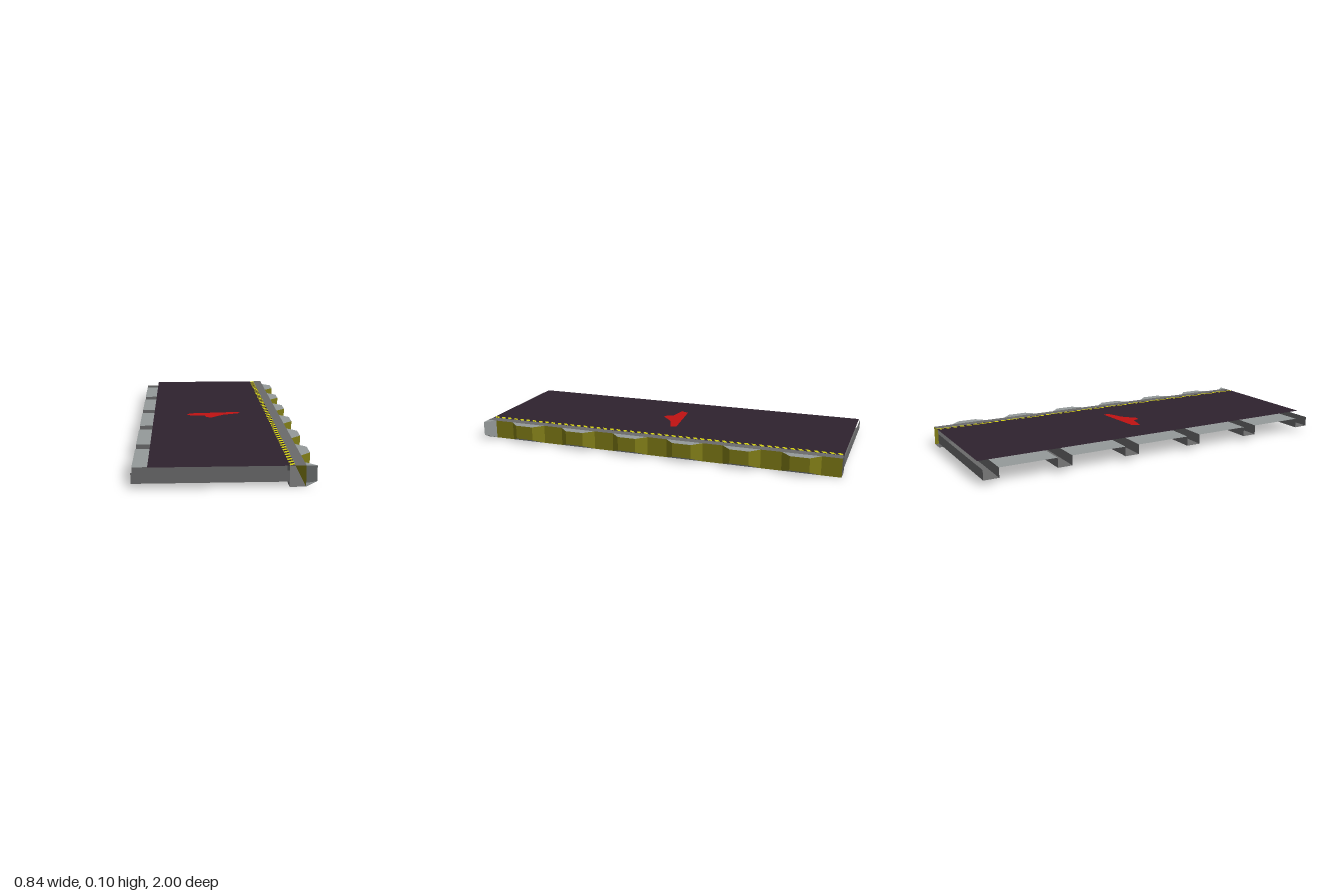
import * as THREE from 'three';

const mat = (name, color) => {
  const m = new THREE.MeshStandardMaterial({ color, side: THREE.DoubleSide });
  m.name = name;
  return m;
};

// Flat-sided sheet made from a list of four-cornered faces
function sheet(name, material, quads) {
  const pos = [];
  for (const [a, b, c, d] of quads) pos.push(...a, ...b, ...c, ...a, ...c, ...d);
  const g = new THREE.BufferGeometry();
  g.setAttribute('position', new THREE.Float32BufferAttribute(pos, 3));
  g.computeVertexNormals();
  const mesh = new THREE.Mesh(g, material);
  mesh.name = name;
  return mesh;
}

// Horizontal (faces up), x-facing and z-facing rectangles
const flat = (x0, x1, y, z0, z1) => [[x0, y, z0], [x0, y, z1], [x1, y, z1], [x1, y, z0]];
const sideX = (x, y0, y1, z0, z1) => [[x, y0, z1], [x, y0, z0], [x, y1, z0], [x, y1, z1]];
const sideZ = (z, x0, x1, y0, y1) => [[x0, y0, z], [x1, y0, z], [x1, y1, z], [x0, y1, z]];

export function createModel() {
  const model = new THREE.Group();
  const deckDark = mat('deck dark', 0x2e222e);
  const steel = mat('steel grey', 0x6a6a6b);
  const light = mat('light grey', 0x959a9a);
  const olive = mat('olive', 0x807c16);
  const yellow = mat('warning yellow', 0xd2d012);
  const red = mat('marking red', 0xc01212);

  const LEFT = -0.42, EDGE = 0.295, WALL = 0.37, OUT = 0.42, TOP = 0.1;

  // Walking surface
  model.add(sheet('deck', deckDark, [flat(-0.345, EDGE, TOP, -1, 1)]));

  // Hollow curb, open at both ends
  model.add(sheet('curb', steel, [
    flat(0.32, WALL, TOP, -1, 1),
    [...flat(EDGE, WALL, 0, -1, 1)].reverse(),
    [...sideX(EDGE, 0, TOP, -1, 1)].reverse(),
  ]));
  model.add(sheet('curbWall', olive, [sideX(WALL, 0, TOP, -1, 1)]));

  // Warning stripe with slanted dashes
  model.add(sheet('stripeBase', deckDark, [flat(EDGE, 0.32, TOP, -1, 1)]));
  const dashes = [], count = 50, step = 2 / count;
  for (let i = 0; i < count; i++) {
    const z = -1 + i * step, y = TOP + 0.0008, s = step * 0.4;
    const end = z + step * 0.55;
    dashes.push([[EDGE, y, z + s], [EDGE, y, end + s], [0.32, y, end], [0.32, y, z]]);
  }
  const under = dashes.map(q => q.map(([x, y, z]) => [x, TOP - 0.0008, z]).reverse());
  model.add(sheet('stripeDashes', yellow, [...dashes, ...under]));

  // Bevelled bumpers along the outside; the last one is cut by the front end
  const bumpers = new THREE.Group();
  bumpers.name = 'bumpers';
  for (let i = 0; i < 7; i++) {
    const z0 = 0.95 - i * 0.308, a = z0 + 0.05, b = z0 + 0.15, z1 = z0 + 0.2, low = 0.025;
    const backSlope = [[WALL, 0, z0], [WALL, TOP, z0], [OUT, TOP, a], [OUT, low, a]];
    if (i === 0) {
      bumpers.add(sheet('cutBumper', light, [
        backSlope,
        [[WALL, TOP, z0], [WALL, TOP, a], [OUT, TOP, a], [WALL, TOP, z0]],
        [[WALL, 0, z0], [OUT, low, a], [WALL, 0, a], [WALL, 0, z0]],
      ]));
      continue;
    }
    bumpers.add(sheet('bumperFace', olive, [
      backSlope,
      sideX(OUT, low, TOP, a, b),
      [[WALL, 0, z1], [OUT, low, b], [OUT, TOP, b], [WALL, TOP, z1]],
    ]));
    bumpers.add(sheet('bumperCaps', light, [
      [[WALL, TOP, z0], [WALL, TOP, z1], [OUT, TOP, b], [OUT, TOP, a]],
      [[WALL, 0, z0], [OUT, low, a], [OUT, low, b], [WALL, 0, z1]],
    ]));
  }
  model.add(bumpers);

  // Open-topped cross channels with floor panels between them
  const frame = new THREE.Group();
  frame.name = 'underFrame';
  const pitch = 0.384, w = 0.08, y0 = 0.025, y1 = 0.077;
  for (let i = 0; i < 6; i++) {
    const z = -1 + i * pitch;
    frame.add(sheet('crossBeam', steel, [
      [...flat(LEFT, EDGE, y0, z, z + w)].reverse(),
      sideZ(z + w, LEFT, EDGE, y0, y1),
      [...sideZ(z, LEFT, EDGE, y0, y1)].reverse(),
    ]));
    if (i < 5) frame.add(sheet('floorPanel', light, [flat(LEFT, EDGE, y1, z + w, z + pitch)]));
  }
  model.add(frame);

  // Painted red patch on the deck
  const outline = [[-0.16, 0.01], [-0.14, -0.033], [0.14, -0.058], [0.15, -0.028],
    [0.05, 0.01], [0.02, 0.036], [-0.02, 0.075], [-0.05, 0.06], [-0.055, 0.03]];
  const shape = new THREE.Shape(outline.map(([x, z]) => new THREE.Vector2(x, -z)));
  const patch = new THREE.Mesh(new THREE.ShapeGeometry(shape).rotateX(-Math.PI / 2), red);
  patch.name = 'paintedPatch';
  patch.position.y = TOP + 0.001;
  model.add(patch);

  return model;
}
